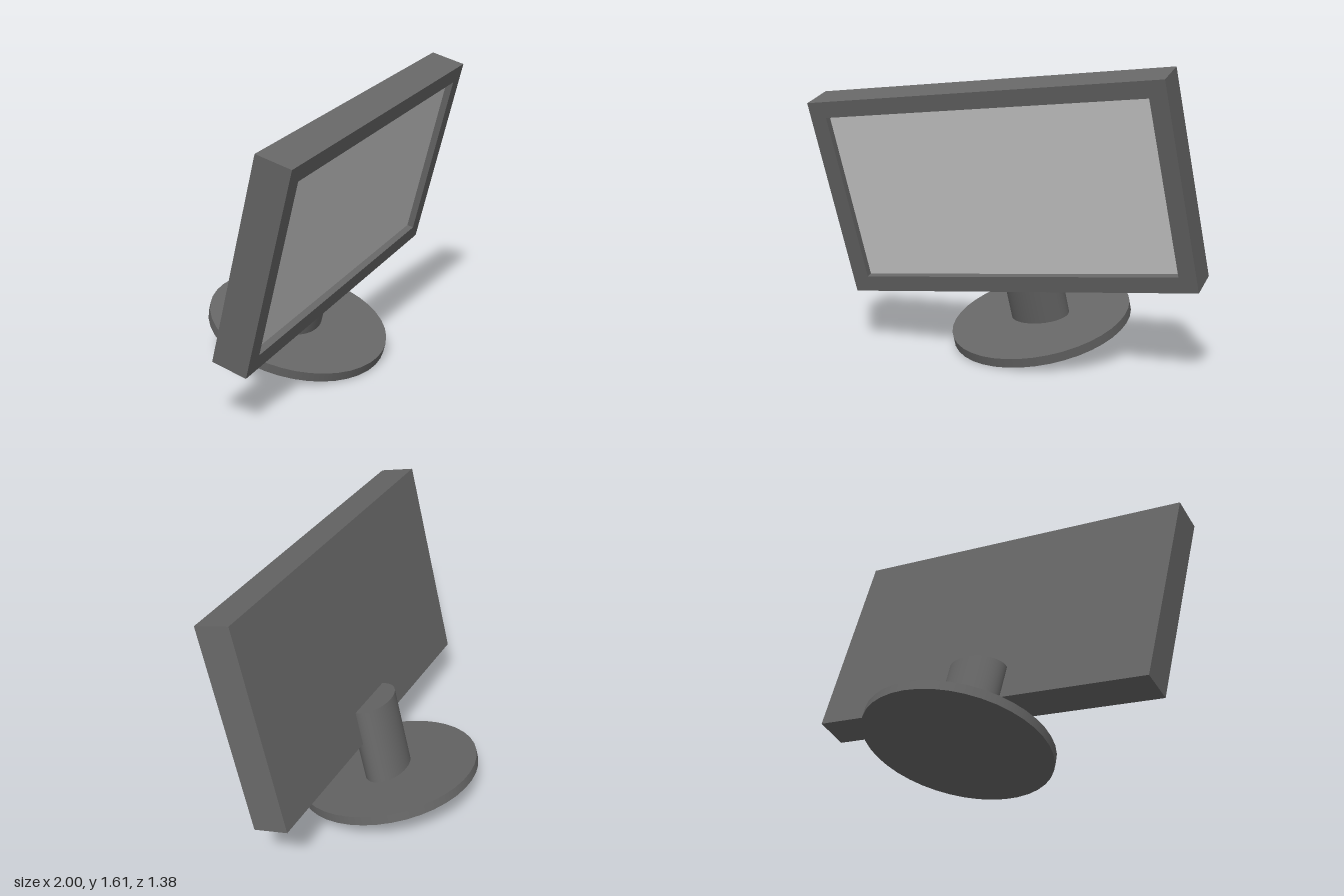
import * as THREE from 'three';

const frameMat = new THREE.MeshStandardMaterial({ color: 0x666666 });
frameMat.name = 'dark grey casing';
const screenMat = new THREE.MeshStandardMaterial({ color: 0xd0d0d0 });
screenMat.name = 'pale grey screen';

// Panel size, opening size and recess depth
const W = 2.032, H = 1.141, D = 0.195;
const openW = 1.844, openH = 0.96, recess = 0.04;
const panelY = 0.9495, frontZ = 0.213;

function add(parent, name, geometry, material, x, y, z) {
  const mesh = new THREE.Mesh(geometry, material);
  mesh.name = name;
  mesh.position.set(x, y, z);
  parent.add(mesh);
  return mesh;
}

function rectPoints(w, h) {
  return [[-1, -1], [1, -1], [1, 1], [-1, 1]].map(([x, y]) => new THREE.Vector2(x * w / 2, y * h / 2));
}

export function createModel() {
  const model = new THREE.Group();
  model.name = 'monitor';

  // Whole monitor leans forward, then is turned about its own upright axis
  const tilt = new THREE.Group();
  tilt.name = 'tiltedMonitor';
  tilt.rotation.x = 0.293;
  model.add(tilt);
  const turn = new THREE.Group();
  turn.name = 'turnedMonitor';
  turn.position.set(-0.033, 0, -0.244);
  turn.rotation.y = 0.303;
  tilt.add(turn);

  // Round foot and oval neck
  add(turn, 'base', new THREE.CylinderGeometry(0.504, 0.504, 0.052, 40), frameMat, 0, 0.106, 0);
  const neck = add(turn, 'neck', new THREE.CylinderGeometry(1, 1, 0.45, 40), frameMat, 0, 0.348, 0);
  neck.scale.set(0.169, 1, 0.117);

  // Casing body behind the screen
  add(turn, 'casing', new THREE.BoxGeometry(W, H, D - recess), frameMat,
    0, panelY, frontZ - recess - (D - recess) / 2);

  // Bezel surrounding the recessed screen
  const bezel = new THREE.Shape(rectPoints(W, H));
  bezel.holes.push(new THREE.Path(rectPoints(openW, openH).reverse()));
  add(turn, 'bezel', new THREE.ExtrudeGeometry(bezel, { depth: recess, bevelEnabled: false }), frameMat,
    0, panelY, frontZ - recess);

  // Screen plate
  add(turn, 'screen', new THREE.PlaneGeometry(openW, openH), screenMat,
    0, panelY, frontZ - recess + 0.002);

  return model;
}
